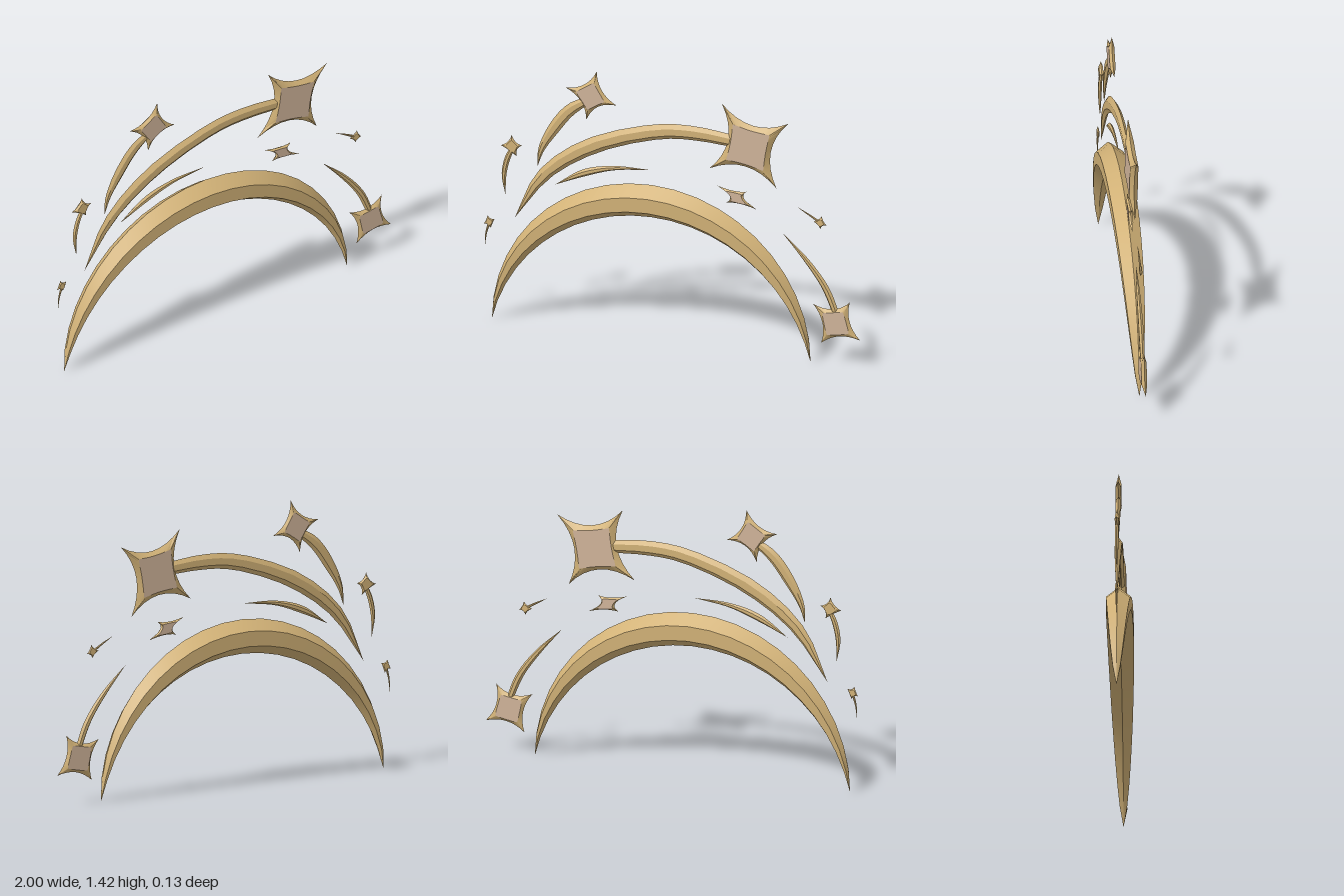
import * as THREE from 'three';
import { toCreasedNormals } from 'three/addons/utils/BufferGeometryUtils.js';

const gold = new THREE.MeshStandardMaterial({ color: 0xd2b277 });
gold.name = 'gold';
const rose = new THREE.MeshStandardMaterial({ color: 0xd0b49a });
rose.name = 'rose gold';

function makeMesh(name, positions, index, material) {
  const geo = new THREE.BufferGeometry();
  geo.setAttribute('position', new THREE.Float32BufferAttribute(positions, 3));
  geo.setIndex(index);
  const mesh = new THREE.Mesh(toCreasedNormals(geo, 0.45), material);
  mesh.name = name;
  return mesh;
}

const rail = (pts) => {
  const curve = new THREE.CatmullRomCurve3(pts.map(([x, y]) => new THREE.Vector3(x, y, 0)));
  return (t) => curve.getPoint(t);
};

// Tapering bar with a six-sided section, swept between an outer and an inner rail
function sweep(name, outer, inner, depth, segments) {
  const rows = [];
  for (let i = 0; i <= segments; i++) rows.push([outer(i / segments), inner(i / segments)]);
  const widest = Math.max(...rows.map(([a, b]) => a.distanceTo(b)));
  const section = [[0, 0], [0.3, 1], [0.74, 1], [1, 0], [0.74, -1], [0.3, -1]];
  const pos = [], idx = [];
  rows.forEach(([a, b], i) => {
    const d = depth * Math.pow(a.distanceTo(b) / widest, 0.7);
    for (const [k, z] of section) {
      const p = a.clone().lerp(b, k);
      pos.push(p.x, p.y, z * d);
    }
    if (i === segments) return;
    for (let j = 0; j < 6; j++) {
      const p = i * 6 + j, q = i * 6 + (j + 1) % 6;
      idx.push(p, q, p + 6, q, q + 6, p + 6);
    }
  });
  // end cap
  const e = segments * 6;
  for (let j = 1; j < 5; j++) idx.push(e, e + j, e + j + 1);
  return makeMesh(name, pos, idx, gold);
}

// Concave four-pointed star: flat faces front and back, bevels down to a sharp rim.
// Tips run clockwise; valley is the distance from centre to valley over tip radius.
function star(name, [cx, cy], tips, valley, depth, faceMaterial) {
  const group = new THREE.Group();
  group.name = name;
  const P = tips.map(([x, y]) => new THREE.Vector2(x - cx, y - cy)).reverse();
  const steps = 8, rim = [], inset = [];
  P.forEach((a, i) => {
    const b = P[(i + 1) % P.length];
    const mid = a.clone().add(b).multiplyScalar(0.5);
    const low = mid.clone().setLength(valley * (a.length() + b.length()) / 2);
    const ctrl = low.multiplyScalar(2).sub(mid);
    const curve = new THREE.QuadraticBezierCurve(a, ctrl, b);
    for (let s = 0; s < steps; s++) {
      const p = curve.getPoint(s / steps);
      rim.push(p);
      inset.push(p.clone().multiplyScalar(0.55 + 0.27 * Math.sin(Math.PI * s / steps)));
    }
  });
  const n = rim.length;
  for (const side of [1, -1]) {
    const bevel = [], bevelIdx = [], face = [0, 0, side * depth], faceIdx = [];
    const tri = (list, a, b, c) => (side > 0 ? list.push(a, b, c) : list.push(a, c, b));
    for (let i = 0; i < n; i++) {
      const j = (i + 1) % n;
      bevel.push(rim[i].x, rim[i].y, 0, inset[i].x, inset[i].y, side * depth);
      face.push(inset[i].x, inset[i].y, side * depth);
      tri(bevelIdx, 2 * i, 2 * j, 2 * i + 1);
      tri(bevelIdx, 2 * j, 2 * j + 1, 2 * i + 1);
      tri(faceIdx, 0, i + 1, j + 1);
    }
    const label = side > 0 ? 'front' : 'back';
    group.add(makeMesh(label + 'Bevel', bevel, bevelIdx, gold));
    group.add(makeMesh(label + 'Face', face, faceIdx, faceMaterial));
  }
  group.position.set(cx, cy, 0);
  return group;
}

// Circular arc through two feet and a crown
function arc(cx, half, footY, crownY) {
  const rise = crownY - footY;
  const r = (half * half + rise * rise) / (2 * rise);
  const span = Math.atan2(half, r - rise);
  return (t) => {
    const a = span * (2 * t - 1);
    return new THREE.Vector3(cx + r * Math.sin(a), crownY - r + r * Math.cos(a), 0);
  };
}

export function createModel() {
  const model = new THREE.Group();
  model.name = 'shootingStars';

  // Main crescent
  model.add(sweep('crescent', arc(-0.11, 0.847, 0, 0.845), arc(-0.11, 0.847, 0, 0.67), 0.067, 22));

  // Tails: name, outer rail, inner rail, half depth
  const tails = [
    ['largeTail',
      [[-0.835, 0.565], [-0.715, 0.83], [-0.475, 1.035], [-0.1, 1.175], [0.115, 1.197], [0.36, 1.175]],
      [[-0.835, 0.565], [-0.645, 0.81], [-0.385, 0.985], [-0.05, 1.103], [0.13, 1.12], [0.36, 1.11]], 0.018],
    ['upperTail',
      [[-0.715, 0.86], [-0.71, 0.96], [-0.65, 1.1], [-0.555, 1.22], [-0.44, 1.282]],
      [[-0.715, 0.86], [-0.68, 0.95], [-0.605, 1.06], [-0.525, 1.165], [-0.425, 1.25]], 0.012],
    ['leftTail',
      [[-0.885, 0.68], [-0.905, 0.79], [-0.89, 0.88], [-0.86, 0.945]],
      [[-0.885, 0.68], [-0.88, 0.79], [-0.863, 0.87], [-0.838, 0.935]], 0.009],
    ['tinyLeftTail',
      [[-0.995, 0.38], [-0.992, 0.46], [-0.978, 0.52]],
      [[-0.995, 0.38], [-0.983, 0.46], [-0.965, 0.515]], 0.005],
    ['wisp',
      [[-0.62, 0.775], [-0.475, 0.877], [-0.31, 0.92], [-0.125, 0.925]],
      [[-0.62, 0.775], [-0.475, 0.837], [-0.31, 0.896], [-0.125, 0.924]], 0.01],
    ['rightTail',
      [[0.59, 0.68], [0.73, 0.555], [0.837, 0.415], [0.895, 0.27]],
      [[0.59, 0.68], [0.703, 0.545], [0.795, 0.415], [0.863, 0.26]], 0.012],
    ['tinyRightTail',
      [[0.665, 0.835], [0.73, 0.806], [0.79, 0.774]],
      [[0.665, 0.835], [0.73, 0.795], [0.782, 0.762]], 0.005],
  ];
  for (const [name, outer, inner, depth] of tails) {
    model.add(sweep(name, rail(outer), rail(inner), depth, 14));
  }

  // Stars: name, centre, tips, valley ratio, half depth, face colour
  const stars = [
    ['largeStar', [0.412, 1.13], [[0.265, 1.34], [0.617, 1.28], [0.555, 0.92], [0.2, 0.98]], 0.45, 0.021, rose],
    ['upperStar', [-0.43, 1.285], [[-0.4, 1.42], [-0.295, 1.25], [-0.455, 1.15], [-0.565, 1.31]], 0.48, 0.014, rose],
    ['rightStar', [0.872, 0.235], [[0.945, 0.355], [1.0, 0.155], [0.793, 0.115], [0.75, 0.32]], 0.5, 0.014, rose],
    ['smallStar', [0.345, 0.843], [[0.24, 0.892], [0.397, 0.88], [0.45, 0.79], [0.288, 0.806]], 0.42, 0.01, rose],
    ['leftStar', [-0.848, 0.952], [[-0.852, 1.012], [-0.795, 0.962], [-0.825, 0.898], [-0.91, 0.948]], 0.52, 0.01, gold],
    ['tinyLeftStar', [-0.971, 0.524], [[-0.98, 0.557], [-0.943, 0.542], [-0.964, 0.49], [-1.0, 0.508]], 0.55, 0.006, gold],
    ['tinyRightStar', [0.789, 0.766], [[0.796, 0.802], [0.822, 0.757], [0.788, 0.733], [0.752, 0.768]], 0.55, 0.006, gold],
  ];
  for (const s of stars) model.add(star(...s));
  return model;
}
